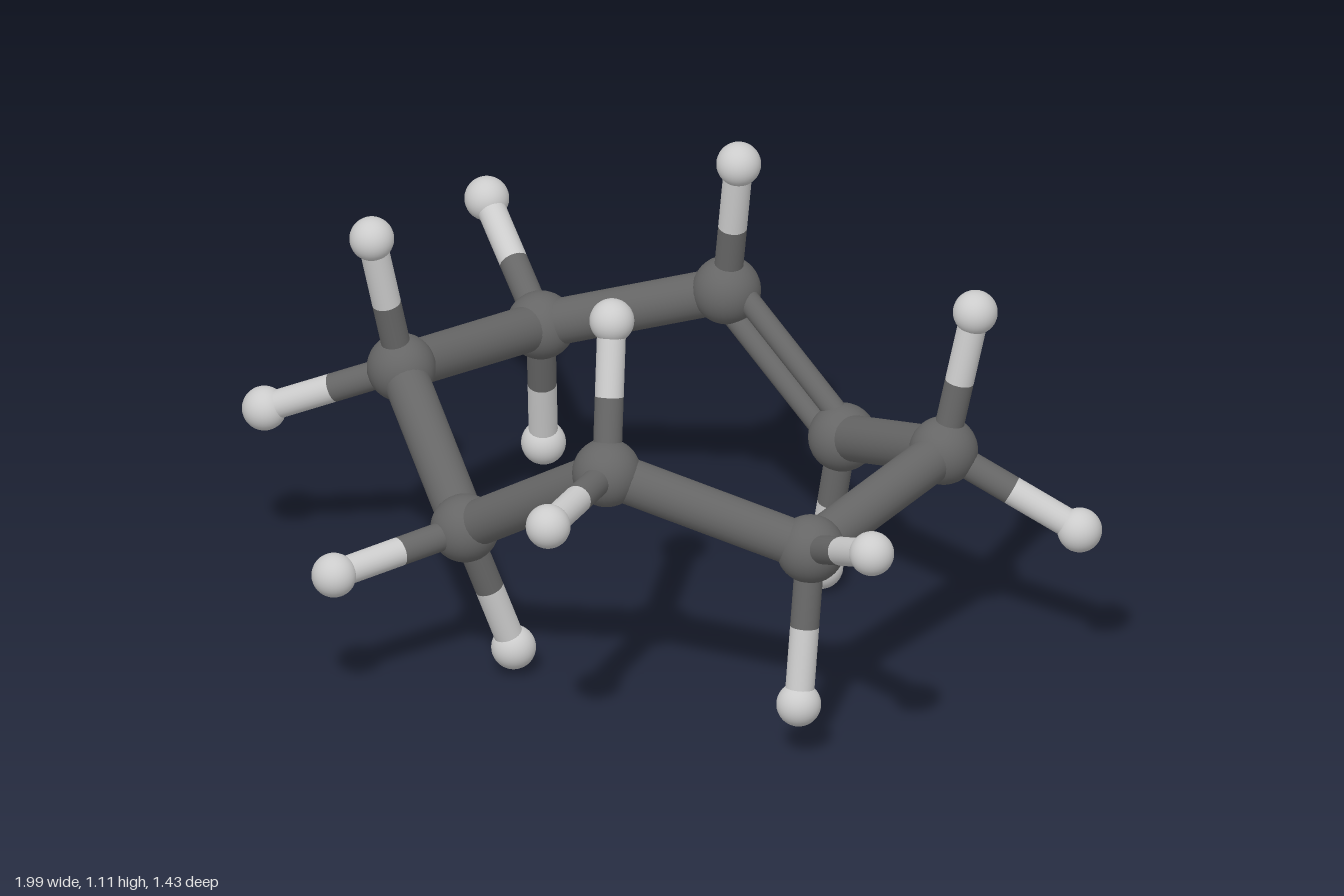
import * as THREE from 'three';

const CARBON_RADIUS = 0.083, HYDROGEN_RADIUS = 0.054;
const RING_BOND = 0.056, HYDROGEN_BOND = 0.035, DOUBLE_BOND = 0.028, DOUBLE_OFFSET = 0.036;

// Eight ring carbons in order, each with the hydrogens attached to it
const RING = [
  { at: [-0.18, 0.70, -0.635], hydrogens: [[-0.13, 1.06, -0.62]] },
  { at: [0.18, 0.42, -0.635], hydrogens: [[0.125, 0.06, -0.62]] },
  { at: [0.625, 0.59, -0.475], hydrogens: [[0.92, 0.41, -0.63], [0.67, 0.95, -0.54]] },
  { at: [0.635, 0.53, 0.04], hydrogens: [[0.94, 0.67, 0.18], [0.66, 0.15, 0.115]] },
  { at: [0.22, 0.705, 0.305], hydrogens: [[0.33, 0.735, 0.66], [0.15, 1.05, 0.20]] },
  { at: [-0.22, 0.415, 0.305], hydrogens: [[-0.335, 0.39, 0.66], [-0.155, 0.075, 0.20]] },
  { at: [-0.635, 0.61, 0.04], hydrogens: [[-0.945, 0.455, 0.18], [-0.665, 0.975, 0.115]] },
  { at: [-0.625, 0.525, -0.475], hydrogens: [[-0.92, 0.71, -0.63], [-0.67, 0.17, -0.54]] },
];

export function createModel() {
  const model = new THREE.Group();
  model.name = 'ringMolecule';
  const dark = new THREE.MeshStandardMaterial({ color: 0x666666 });
  const light = new THREE.MeshStandardMaterial({ color: 0xcccccc });
  const carbonGeometry = new THREE.SphereGeometry(CARBON_RADIUS, 32, 20);
  const hydrogenGeometry = new THREE.SphereGeometry(HYDROGEN_RADIUS, 32, 20);
  const up = new THREE.Vector3(0, 1, 0);

  function atom(name, geometry, material, position) {
    const mesh = new THREE.Mesh(geometry, material);
    mesh.name = name;
    mesh.position.copy(position);
    model.add(mesh);
  }

  // Straight rod between two points
  function rod(name, from, to, radius, material) {
    const axis = to.clone().sub(from);
    const mesh = new THREE.Mesh(
      new THREE.CylinderGeometry(radius, radius, axis.length(), 24), material);
    mesh.name = name;
    mesh.position.copy(from).add(to).multiplyScalar(0.5);
    mesh.quaternion.setFromUnitVectors(up, axis.normalize());
    model.add(mesh);
  }

  RING.forEach(({ at, hydrogens }, i) => {
    const carbon = new THREE.Vector3(...at);
    const next = new THREE.Vector3(...RING[(i + 1) % RING.length].at);
    atom('carbonAtom', carbonGeometry, dark, carbon);

    if (i === 0) {
      // The double bond is a pair of thin parallel rods
      const side = next.clone().sub(carbon).cross(new THREE.Vector3(0, 0, 1)).normalize();
      for (const sign of [-1, 1]) {
        const shift = side.clone().multiplyScalar(sign * DOUBLE_OFFSET);
        rod('doubleBond', carbon.clone().add(shift), next.clone().add(shift), DOUBLE_BOND, dark);
      }
    } else {
      rod('ringBond', carbon, next, RING_BOND, dark);
    }

    // Hydrogen bonds are dark on the carbon half and light on the hydrogen half
    for (const point of hydrogens) {
      const hydrogen = new THREE.Vector3(...point);
      const middle = carbon.clone().lerp(hydrogen, 0.5);
      atom('hydrogenAtom', hydrogenGeometry, light, hydrogen);
      rod('hydrogenBondInner', carbon, middle, HYDROGEN_BOND, dark);
      rod('hydrogenBondOuter', middle, hydrogen, HYDROGEN_BOND, light);
    }
  });

  return model;
}
